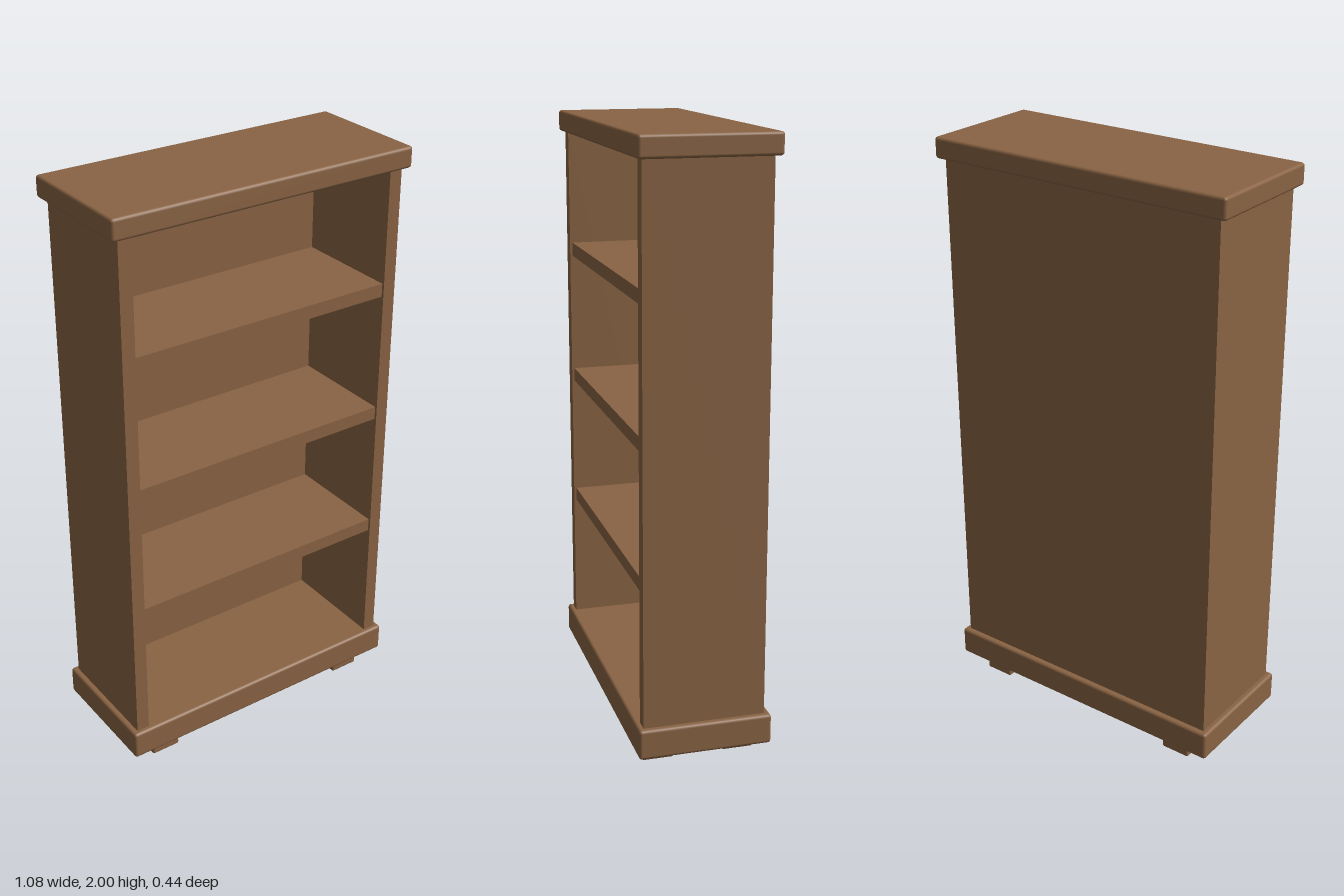
import * as THREE from 'three';
import { RoundedBoxGeometry } from 'three/addons/geometries/RoundedBoxGeometry.js';

export function createModel() {
  const model = new THREE.Group();
  model.name = 'bookcase';
  const wood = new THREE.MeshStandardMaterial({ color: 0x8a6444 });
  wood.name = 'brown wood';

  const add = (name, geometry, x, y, z) => {
    const mesh = new THREE.Mesh(geometry, wood);
    mesh.name = name;
    mesh.position.set(x, y, z);
    model.add(mesh);
  };
  // Softly rounded board spanning y0 to y1
  const board = (name, w, y0, y1, d, x = 0, z = 0, r = 0.01) =>
    add(name, new RoundedBoxGeometry(w, y1 - y0, d, 2, r), x, (y0 + y1) / 2, z);

  // Top slab and plinth
  board('topBoard', 1.084, 1.93, 2.0, 0.44);
  board('plinth', 1.07, 0.052, 0.152, 0.44);

  // Side walls and back panel as one U-shaped extrusion (shape y becomes -z)
  const outer = 0.515, inner = 0.47, front = -0.202, back = 0.2, backInner = 0.18;
  const plan = new THREE.Shape([
    [-outer, front], [-inner, front], [-inner, backInner], [inner, backInner],
    [inner, front], [outer, front], [outer, back], [-outer, back],
  ].map(([x, y]) => new THREE.Vector2(x, y)));
  const carcass = new THREE.ExtrudeGeometry(plan, { depth: 1.79, bevelEnabled: false });
  carcass.rotateX(-Math.PI / 2);
  add('sidesAndBack', carcass, 0, 0.146, 0);

  // Three evenly spaced shelves, set slightly behind the side edges
  for (let i = 0; i < 3; i++) {
    add(`shelf${i + 1}`, new THREE.BoxGeometry(0.942, 0.046, 0.375), 0, 0.613 + i * 0.455, 0.006);
  }

  // Four block feet
  for (const sx of [-1, 1]) {
    for (const sz of [-1, 1]) {
      const name = `${sz > 0 ? 'front' : 'back'}${sx > 0 ? 'Left' : 'Right'}Foot`;
      board(name, 0.105, 0, 0.06, 0.105, sx * 0.394, sz * 0.135, 0.007);
    }
  }
  return model;
}
